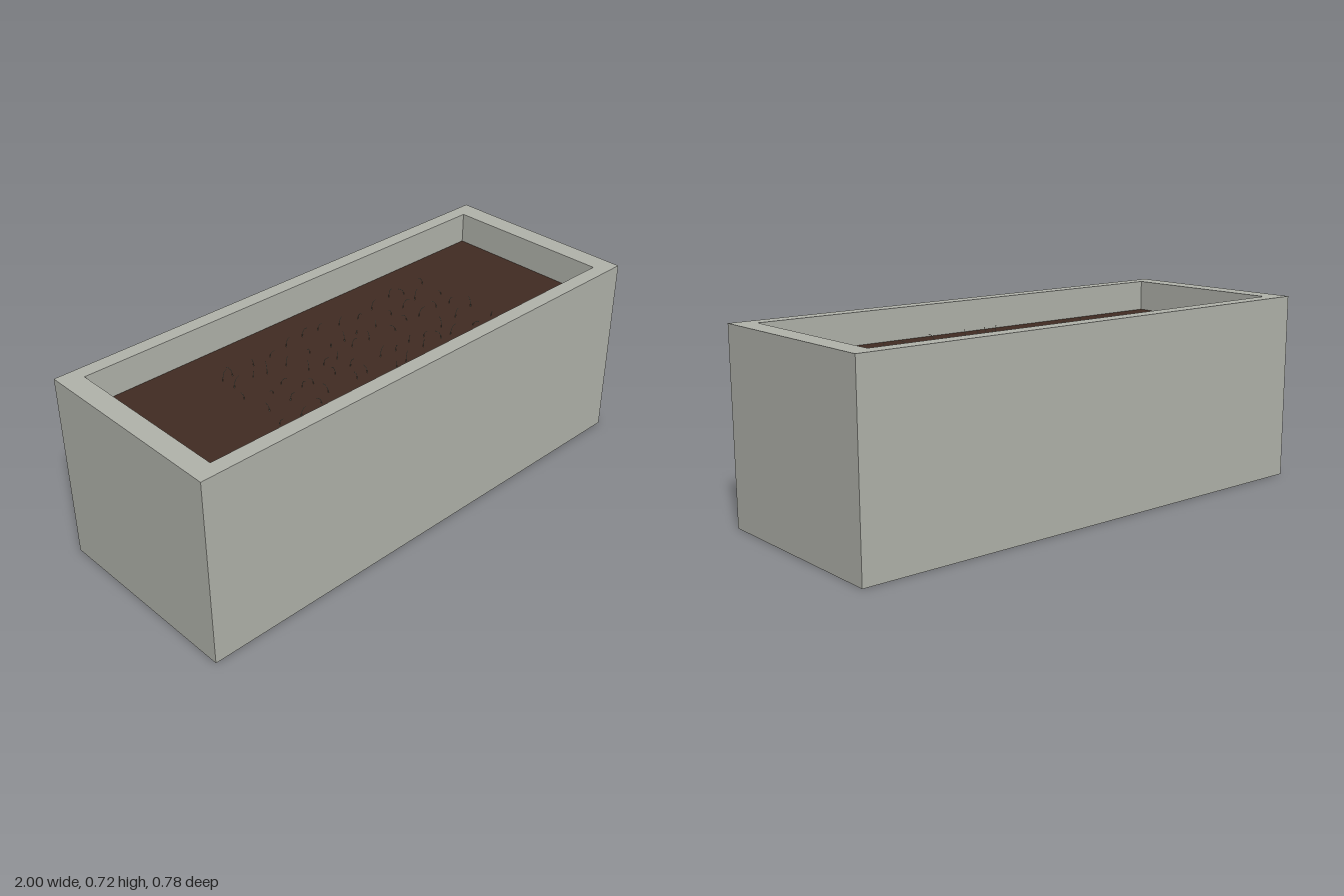
import * as THREE from 'three';

const LENGTH = 2, HEIGHT = 0.72, DEPTH = 0.78;
const INNER_LENGTH = 1.84, INNER_DEPTH = 0.665;
const FLOOR = 0.05, SOIL_TOP = 0.6;

// Small seeded generator for natural variation
function seeded(seed) {
  return () => {
    seed = (seed * 16807) % 2147483647;
    return seed / 2147483647;
  };
}

function rectangle(Type, w, d) {
  const r = new Type();
  r.moveTo(-w / 2, -d / 2);
  r.lineTo(w / 2, -d / 2);
  r.lineTo(w / 2, d / 2);
  r.lineTo(-w / 2, d / 2);
  r.closePath();
  return r;
}

export function createModel() {
  const material = (name, color) => new THREE.MeshStandardMaterial({ name, color });
  const concrete = material('concrete', 0xb0b2aa);
  const earth = material('soil', 0x402b22);
  const paleStem = material('paleStem', 0xa9a695);

  const model = new THREE.Group();
  model.name = 'planter';
  const add = (name, geometry, mat, y, parent = model) => {
    const mesh = new THREE.Mesh(geometry, mat);
    mesh.name = name;
    mesh.position.y = y;
    parent.add(mesh);
    return mesh;
  };

  // Four walls as one extruded frame
  const outline = rectangle(THREE.Shape, LENGTH, DEPTH);
  outline.holes.push(rectangle(THREE.Path, INNER_LENGTH, INNER_DEPTH));
  const walls = new THREE.ExtrudeGeometry(outline, { depth: HEIGHT, bevelEnabled: false });
  walls.rotateX(-Math.PI / 2);
  add('walls', walls, concrete, 0);

  // Base and soil filling
  add('base', new THREE.BoxGeometry(INNER_LENGTH, FLOOR, INNER_DEPTH), concrete, FLOOR / 2);
  add('soil', new THREE.BoxGeometry(INNER_LENGTH, SOIL_TOP - FLOOR, INNER_DEPTH), earth, (SOIL_TOP + FLOOR) / 2);

  // Hair-thin curved sprouts scattered in loose rows
  const sprouts = new THREE.Group();
  sprouts.name = 'sprouts';
  model.add(sprouts);
  const random = seeded(41);
  const jitter = (amount) => (random() - 0.5) * amount;
  for (let column = 0; column < 13; column++) {
    for (let row = 0; row < 5; row++) {
      const angle = random() * Math.PI * 2;
      const lean = 0.012 + random() * 0.012;
      const height = 0.02 + random() * 0.02;
      const bend = (t, y) => new THREE.Vector3(Math.cos(angle) * lean * t, y, Math.sin(angle) * lean * t);
      const curve = new THREE.QuadraticBezierCurve3(bend(0, 0), bend(0.1, height), bend(1, height));
      const sprout = add('sprout', new THREE.TubeGeometry(curve, 4, 0.0012, 3), paleStem, SOIL_TOP, sprouts);
      sprout.position.x = -0.51 + column * 0.084 + jitter(0.05);
      sprout.position.z = -0.17 + row * 0.086 + jitter(0.05);
    }
  }
  return model;
}
